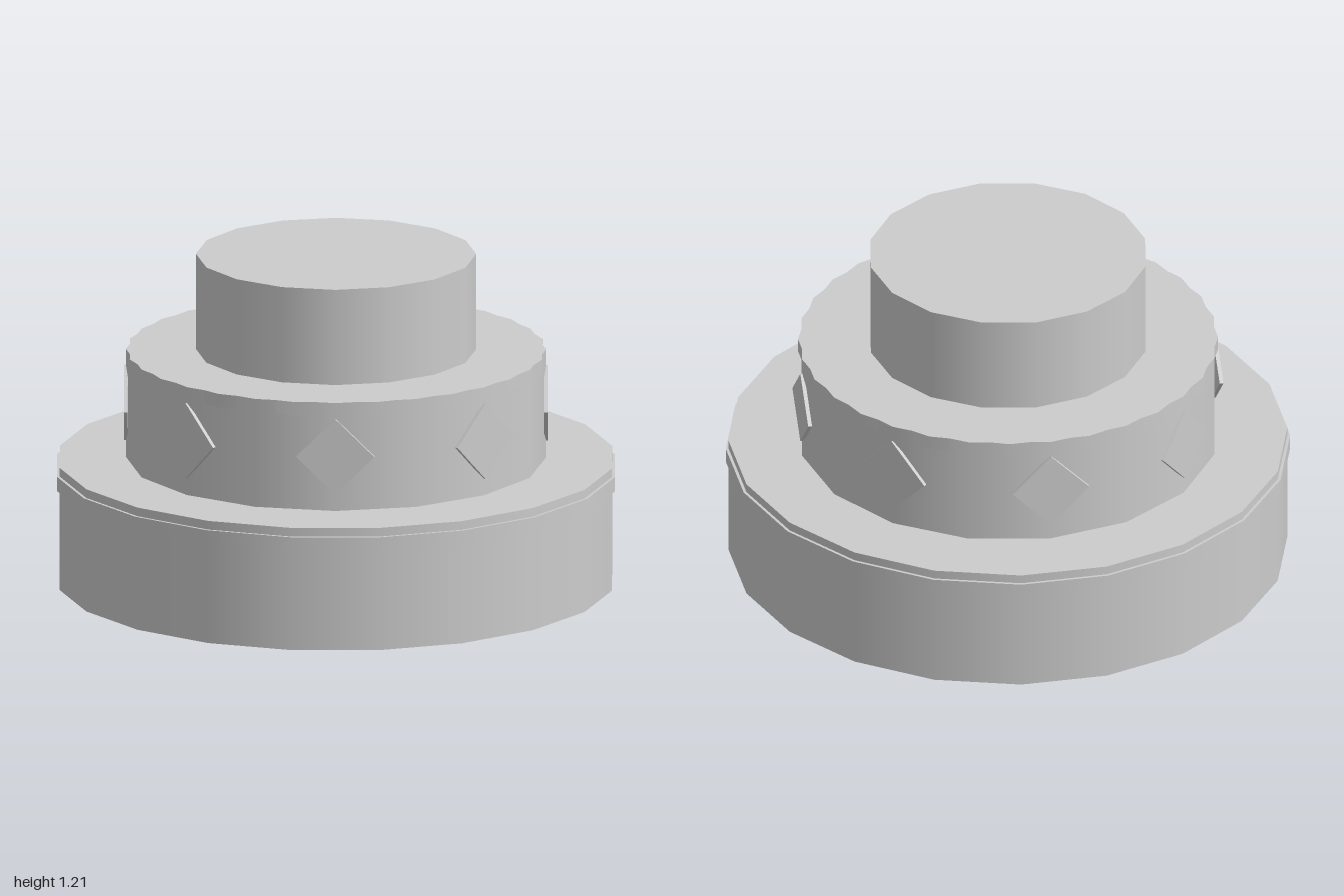
import * as THREE from 'three';

export function createModel() {
  const group = new THREE.Group();
  const grey = new THREE.MeshStandardMaterial({ color: 0xcccccc });
  grey.name = 'light grey';

  // Upright drum between two heights; turned rotates it by half a side
  function drum(name, radius, bottom, top, sides, turned) {
    const geometry = new THREE.CylinderGeometry(
      radius, radius, top - bottom, sides, 1, false, turned ? Math.PI / sides : 0);
    const mesh = new THREE.Mesh(geometry, grey);
    mesh.name = name;
    mesh.position.y = (bottom + top) / 2;
    group.add(mesh);
  }

  // Three stacked tiers with their trim bands
  drum('baseTier', 1.002, 0, 0.453, 20, true);
  drum('baseBand', 1.0125, 0.368, 0.421, 20, true);
  drum('middleTier', 0.753, 0.453, 0.853, 16, false);
  drum('middleRim', 0.753, 0.803, 0.853, 16, true);
  drum('topTier', 0.502, 0.853, 1.206, 16, false);

  // Eight diamond plates around the middle tier
  const plate = new THREE.BoxGeometry(0.198, 0.198, 0.014);
  plate.rotateZ(Math.PI / 4);
  plate.translate(0, 0.655, 0.753);
  for (let i = 0; i < 8; i++) {
    const diamond = new THREE.Mesh(plate, grey);
    diamond.name = 'diamondPlate' + (i + 1);
    diamond.rotation.y = i * Math.PI / 4;
    group.add(diamond);
  }
  return group;
}
